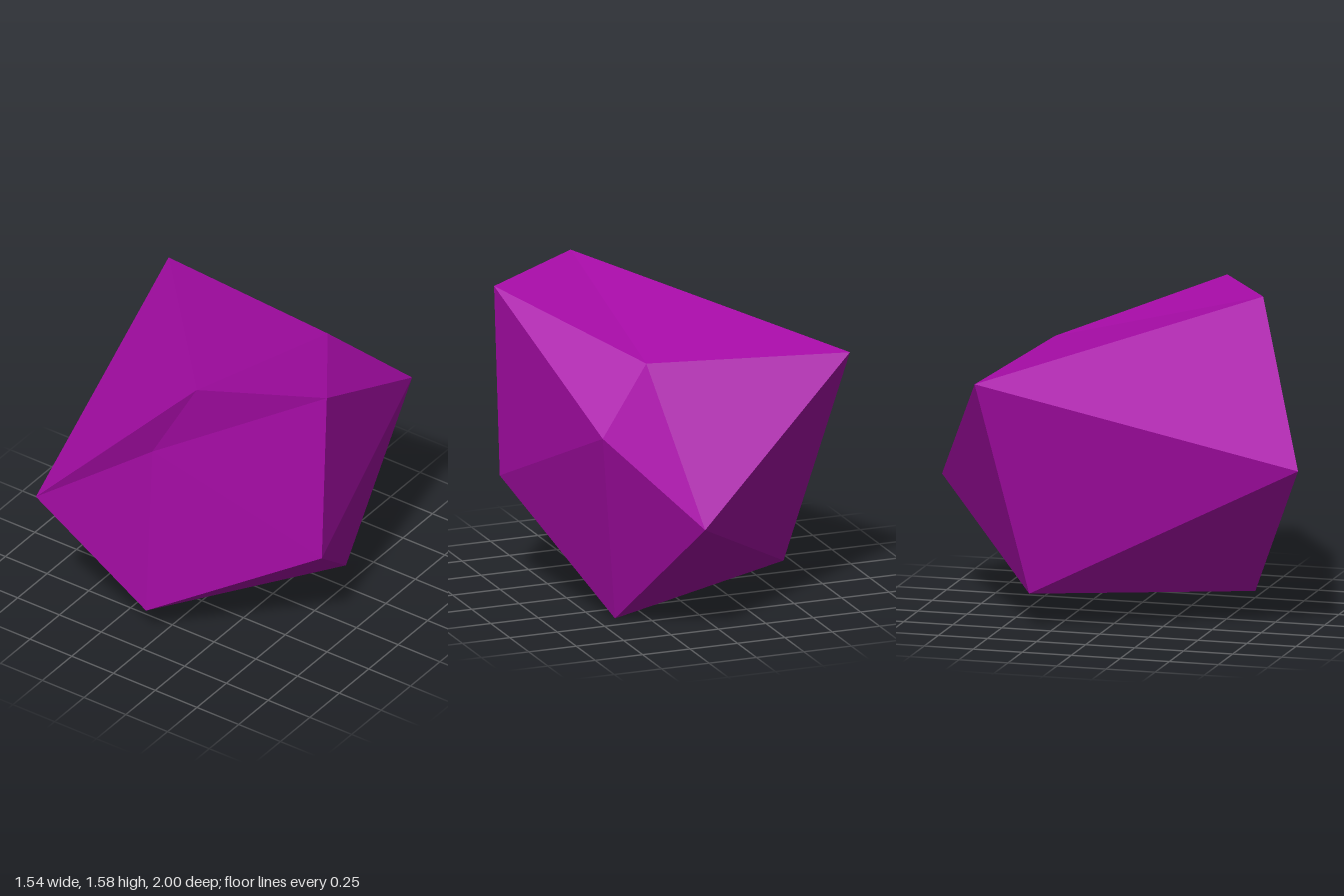
import * as THREE from 'three';

// Twelve corners of an irregular twenty-sided gem
const corners = {
  A: [-0.77, 1.275, -0.56], B: [0.23, 1.575, 0.62], C: [0.77, 1.55, 0.28],
  D: [-0.465, 0.87, 1.0], E: [0.74, 0.575, 0.28], F: [0.405, 0, -0.4],
  G: [-0.045, 0.16, 0.66], H: [-0.5, 0.18, -0.36], I: [0.17, 0.6, -1.0],
  J: [0.59, 1.03, -0.7], K: [0.26, 1.305, -0.45], L: [0, 1.14, 0.67],
};

// Facets: a fan round the front corner, a middle band, a fan round the back corner
const facets = [
  'LBD', 'LDG', 'LGE', 'LEC', 'LCB',
  'ABD', 'ADH', 'DHG', 'HGF', 'GFE', 'FEJ', 'EJC', 'JCK', 'CKB', 'KBA',
  'IAK', 'IKJ', 'IJF', 'IFH', 'IHA',
];

function gemGeometry() {
  const centre = new THREE.Vector3(0, 0.8, 0);
  const points = [];
  for (const facet of facets) {
    const [a, b, c] = [...facet].map((key) => new THREE.Vector3(...corners[key]));
    // Turn every facet to face outward
    const normal = b.clone().sub(a).cross(c.clone().sub(a));
    const outward = normal.dot(a.clone().sub(centre)) > 0;
    points.push(...(outward ? [a, b, c] : [a, c, b]));
  }
  const geometry = new THREE.BufferGeometry().setFromPoints(points);
  geometry.computeVertexNormals();
  return geometry;
}

export function createModel() {
  const model = new THREE.Group();
  model.name = 'gem';
  const purple = new THREE.MeshStandardMaterial({ color: 0xa80ca8 });
  purple.name = 'purple';
  purple.flatShading = true;
  const stone = new THREE.Mesh(gemGeometry(), purple);
  stone.name = 'facetedStone';
  model.add(stone);
  return model;
}
